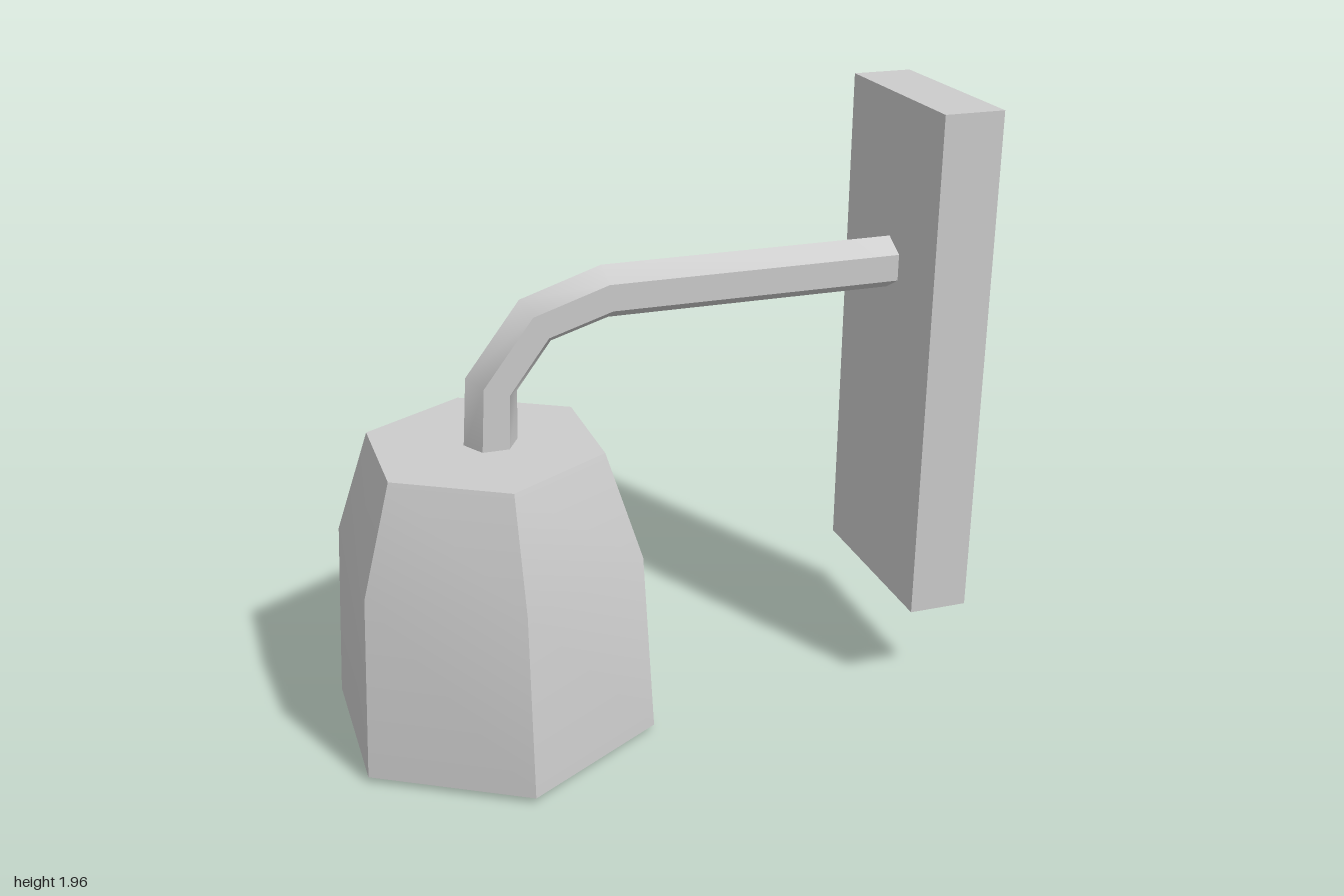
import * as THREE from 'three';
import { toCreasedNormals } from 'three/addons/utils/BufferGeometryUtils.js';

const SIDES = 6;

// Hexagonal tube lofted through rings given as [x, y, tilt in degrees]
function loftTube(rings, radius) {
  const positions = [], index = [];
  rings.forEach(([x, y, tilt], i) => {
    const t = THREE.MathUtils.degToRad(tilt);
    for (let k = 0; k < SIDES; k++) {
      const a = (k / SIDES) * Math.PI * 2;
      const out = radius * Math.cos(a);
      positions.push(x - Math.sin(t) * out, y + Math.cos(t) * out, radius * Math.sin(a));
      if (i === rings.length - 1) continue;
      const p = i * SIDES + k, q = i * SIDES + ((k + 1) % SIDES);
      index.push(p, p + SIDES, q, q, p + SIDES, q + SIDES);
    }
  });
  const geometry = new THREE.BufferGeometry();
  geometry.setAttribute('position', new THREE.Float32BufferAttribute(positions, 3));
  geometry.setIndex(index);
  return geometry;
}

export function createModel() {
  const group = new THREE.Group();
  const material = new THREE.MeshStandardMaterial({ color: 0xcccccc });
  const add = (name, geometry, x = 0, y = 0) => {
    const mesh = new THREE.Mesh(geometry, material);
    mesh.name = name;
    mesh.position.set(x, y, 0);
    group.add(mesh);
  };

  // Wall plate
  add('wallPlate', new THREE.BoxGeometry(0.195, 1.655, 0.63), 0.9025, 1.1325);

  // Bent arm, from the plate down into the shade
  const arm = loftTube([
    [0.83, 1.42, 0],
    [-0.143, 1.42, 7],
    [-0.363, 1.35, 34],
    [-0.505, 1.16, 70],
    [-0.515, 0.95, 90],
  ], 0.085);
  add('arm', toCreasedNormals(arm, 0.75));

  // Hollow six-sided shade: inside first, then the rim, then the outside
  const profile = [
    [0, 0.88], [0.3, 0.88], [0.41, 0.6], [0.445, 0],
    [0.535, 0.02], [0.5, 0.625], [0.383, 0.97], [0, 0.97],
  ].map(([r, y]) => new THREE.Vector2(r, y));
  const shade = new THREE.LatheGeometry(profile, SIDES);
  add('shade', toCreasedNormals(shade, 0.5), -0.535);

  return group;
}
